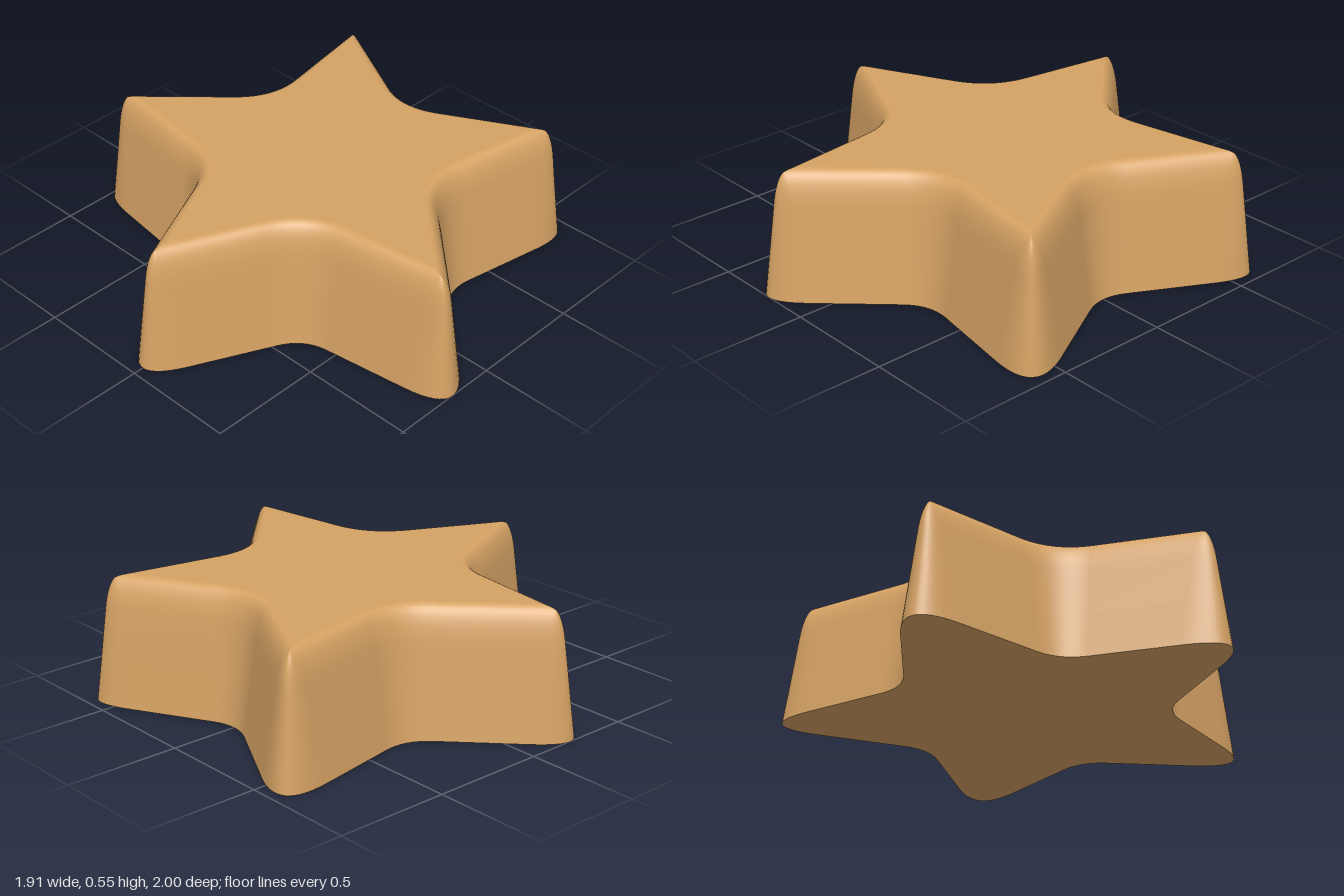
import * as THREE from 'three';
import { mergeVertices } from 'three/addons/utils/BufferGeometryUtils.js';

const STEP = Math.PI / 5;
const TIP = 1.183, NOTCH = 0.58;               // sharp corner radii at the base
const TIP_ROUND = 1.05, NOTCH_ROUND = 0.608;   // radii reached by the rounded corners
const CENTRE_X = 0.095, SAMPLES = 14;
// distance from the centre to each straight edge
const EDGE = TIP * NOTCH * Math.sin(STEP) /
  Math.hypot(TIP - NOTCH * Math.cos(STEP), NOTCH * Math.sin(STEP));

// rounded star outline, moved inward by d
function starOutline(d) {
  const s = (EDGE - d) / EDGE;
  const radii = [TIP * s, NOTCH * s];
  const rounded = [Math.min(TIP_ROUND - d, TIP * s - 0.004), NOTCH_ROUND - d];
  const corner = (k) => {
    const a = Math.PI + k * STEP, r = radii[(k + 10) % 2];
    return new THREE.Vector2(Math.cos(a) * r, Math.sin(a) * r);
  };
  const points = [];
  for (let k = 0; k < 10; k++) {
    const i = k % 2, p = corner(k);
    const f = 2 * (rounded[i] - radii[i]) / (radii[1 - i] * Math.cos(STEP) - radii[i]);
    const curve = new THREE.QuadraticBezierCurve(
      p.clone().lerp(corner(k - 1), f), p, p.clone().lerp(corner(k + 1), f));
    points.push(...curve.getPoints(SAMPLES));
  }
  return points;
}

function makeGeometry(positions, index) {
  const g = new THREE.BufferGeometry();
  g.setAttribute('position', new THREE.Float32BufferAttribute(positions, 3));
  g.setIndex(index);
  const merged = mergeVertices(g, 1e-5);
  merged.computeVertexNormals();
  return merged;
}

// tapered wall rising into a rounded top rim
function wallGeometry(profile) {
  const positions = [], index = [];
  const n = 10 * (SAMPLES + 1);
  profile.forEach(({ x: d, y }) => {
    for (const p of starOutline(d)) positions.push(p.x, y, p.y);
  });
  for (let i = 0; i < profile.length - 1; i++) {
    for (let j = 0; j < n; j++) {
      const a = i * n + j, b = i * n + (j + 1) % n;
      index.push(a, a + n, b, b, a + n, b + n);
    }
  }
  return makeGeometry(positions, index);
}

// flat star closing the wall
function capGeometry({ x: d, y }, up) {
  const outline = starOutline(d), n = outline.length;
  const positions = [0, y, 0], index = [];
  outline.forEach((p, j) => {
    positions.push(p.x, y, p.y);
    const a = 1 + j, b = 1 + (j + 1) % n;
    index.push(0, up ? b : a, up ? a : b);
  });
  return makeGeometry(positions, index);
}

export function createModel() {
  const tan = new THREE.MeshStandardMaterial({ color: 0xd5a264 });
  tan.name = 'tan';

  // inset (x) against height (y)
  const rim = new THREE.QuadraticBezierCurve(
    new THREE.Vector2(0.052, 0.4), new THREE.Vector2(0.071, 0.55), new THREE.Vector2(0.125, 0.55));
  const profile = [new THREE.Vector2(0, 0), new THREE.Vector2(0.026, 0.2), ...rim.getPoints(10)];

  const star = new THREE.Group();
  star.name = 'star';
  const add = (name, geometry) => {
    const mesh = new THREE.Mesh(geometry, tan);
    mesh.name = name;
    star.add(mesh);
  };
  add('wall', wallGeometry(profile));
  add('topFace', capGeometry(profile[profile.length - 1], true));
  add('bottomFace', capGeometry(profile[0], false));
  star.position.x = CENTRE_X;

  const model = new THREE.Group();
  model.name = 'starBlock';
  model.add(star);
  return model;
}
